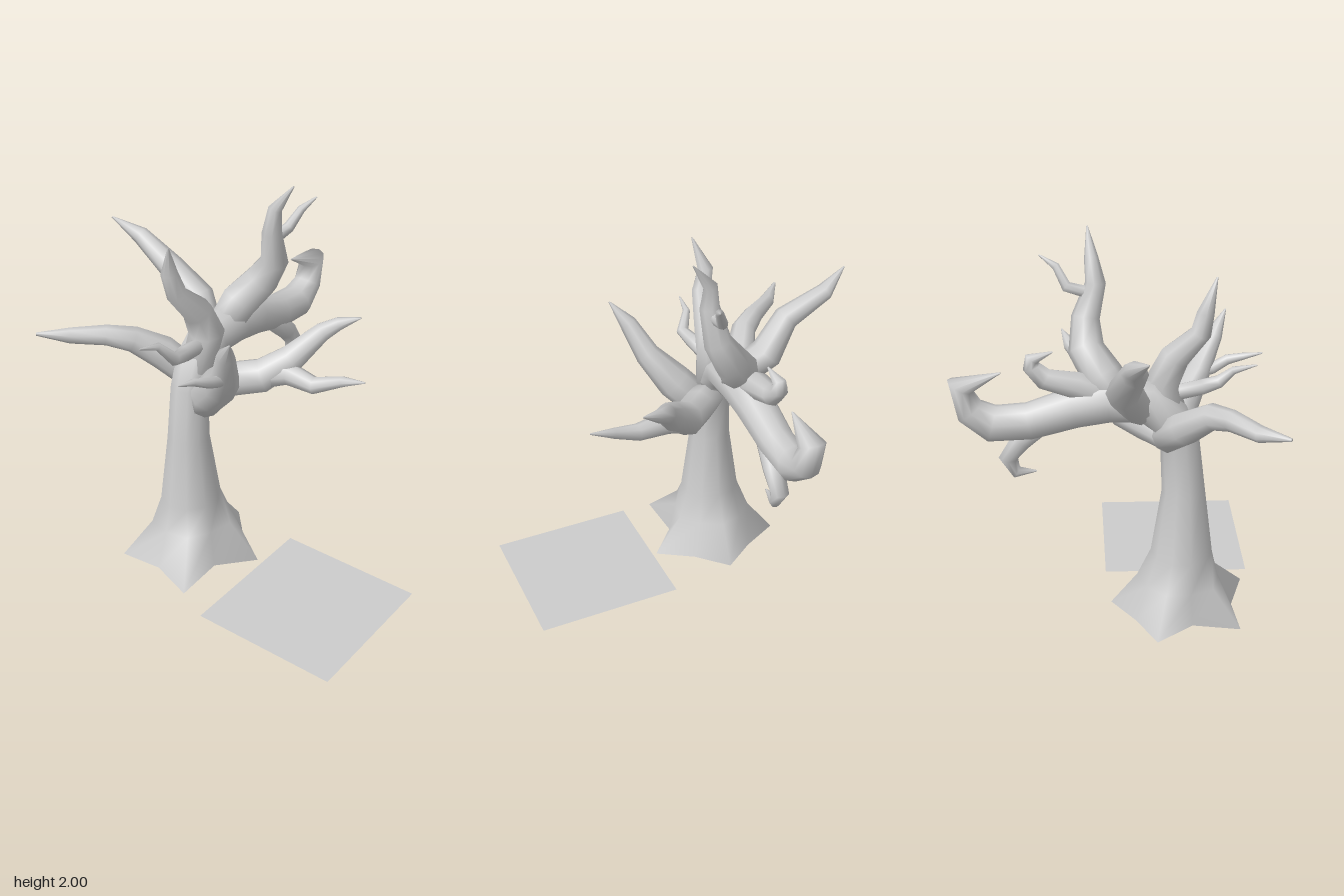
import * as THREE from 'three';

const material = new THREE.MeshStandardMaterial({ color: 0xcccccc, side: THREE.DoubleSide });

// Lofts rings along a path of [x, y, z, radius]; scale(i, j) can reshape a ring.
function limb(name, path, { sides = 8, scale = () => 1, twist = 0, openStart = false } = {}) {
  const pts = path.map(p => new THREE.Vector3(p[0], p[1], p[2]));
  const dirs = pts.slice(1).map((p, i) => p.clone().sub(pts[i]).normalize());
  const tangents = pts.map((p, i) => {
    const before = dirs[Math.max(i - 1, 0)], after = dirs[Math.min(i, dirs.length - 1)];
    return before.clone().add(after).normalize();
  });
  if (openStart) tangents[0].set(0, 1, 0);
  const u = new THREE.Vector3(1, 0, 0);
  if (Math.abs(tangents[0].x) > 0.8) u.set(0, 1, 0);
  u.addScaledVector(tangents[0], -u.dot(tangents[0])).normalize();

  const positions = [], index = [];
  const turn = new THREE.Quaternion();
  pts.forEach((p, i) => {
    if (i > 0) u.applyQuaternion(turn.setFromUnitVectors(tangents[i - 1], tangents[i]));
    const v = u.clone().cross(tangents[i]);
    for (let j = 0; j < sides; j++) {
      const a = twist + (j / sides) * Math.PI * 2, r = path[i][3] * scale(i, j);
      const q = p.clone().addScaledVector(u, Math.cos(a) * r).addScaledVector(v, Math.sin(a) * r);
      positions.push(q.x, q.y, q.z);
      if (i < pts.length - 1) {
        const k = (j + 1) % sides, s = i * sides, t = s + sides;
        index.push(s + j, t + j, s + k, s + k, t + j, t + k);
      }
    }
  });
  // End caps
  const last = (pts.length - 1) * sides, startCentre = pts.length * sides;
  positions.push(...pts[0].toArray(), ...pts[pts.length - 1].toArray());
  for (let j = 0; j < sides; j++) {
    const k = (j + 1) % sides;
    if (!openStart) index.push(startCentre, j, k);
    index.push(startCentre + 1, last + k, last + j);
  }
  const geometry = new THREE.BufferGeometry();
  geometry.setAttribute('position', new THREE.Float32BufferAttribute(positions, 3));
  geometry.setIndex(index);
  geometry.computeVertexNormals();
  const mesh = new THREE.Mesh(geometry, material);
  mesh.name = name;
  return mesh;
}

const TIP = 0.004;

const branches = {
  tallRightBranch: [[-0.06, 1.24, -0.25, 0.09], [0.02, 1.34, -0.22, 0.1], [0.1, 1.45, -0.14, 0.09],
    [0.1, 1.58, -0.06, 0.07], [0.05, 1.75, -0.04, 0.05], [0.07, 1.87, -0.035, 0.035], [0.087, 2.0, 0.06, TIP]],
  tallRightTwig: [[0.07, 1.71, -0.04, 0.025], [0.11, 1.71, -0.05, 0.03], [0.19, 1.73, -0.04, 0.028],
    [0.24, 1.82, 0.0, 0.02], [0.32, 1.865, 0.035, TIP]],
  tallLeftBranch: [[-0.31, 1.1, -0.23, 0.09], [-0.26, 1.29, -0.21, 0.09], [-0.325, 1.43, -0.21, 0.075],
    [-0.445, 1.56, -0.23, 0.052], [-0.46, 1.67, -0.26, 0.042], [-0.515, 1.83, -0.21, TIP]],
  backLeftBranch: [[-0.29, 1.03, -0.27, 0.08], [-0.36, 1.15, -0.42, 0.085], [-0.48, 1.25, -0.5, 0.065],
    [-0.56, 1.275, -0.6, 0.052], [-0.67, 1.275, -0.74, 0.04], [-0.79, 1.3, -0.85, 0.008]],
  backRightBranch: [[-0.16, 1.18, -0.27, 0.08], [-0.07, 1.34, -0.42, 0.085], [-0.115, 1.49, -0.55, 0.065],
    [-0.1, 1.6, -0.76, 0.045], [-0.155, 1.685, -0.9, TIP]],
  frontLeftBranch: [[-0.35, 0.91, -0.17, 0.07], [-0.35, 0.99, -0.14, 0.095], [-0.37, 1.1, -0.04, 0.095],
    [-0.47, 1.24, 0.07, 0.065], [-0.55, 1.4, 0.14, 0.045], [-0.615, 1.51, 0.215, TIP]],
  frontLeftTwig: [[-0.44, 1.22, 0.06, 0.03], [-0.54, 1.24, 0.08, 0.03], [-0.62, 1.28, 0.1, 0.027],
    [-0.7, 1.31, 0.07, 0.018], [-0.79, 1.33, 0.06, TIP]],
  sideLeftTwig: [[-0.33, 1.24, -0.21, 0.04], [-0.46, 1.26, -0.19, 0.04], [-0.55, 1.28, -0.17, 0.033],
    [-0.61, 1.36, -0.22, 0.02], [-0.72, 1.39, -0.23, TIP]],
  frontBranch: [[-0.29, 1.02, -0.2, 0.085], [-0.2, 1.03, -0.1, 0.09], [-0.1, 1.04, 0.01, 0.09],
    [-0.02, 1.14, 0.13, 0.075], [0.12, 1.26, 0.22, 0.05], [0.18, 1.3, 0.28, 0.035], [0.22, 1.345, 0.38, TIP]],
  frontLowBranch: [[-0.1, 1.04, 0.0, 0.075], [-0.06, 1.08, 0.15, 0.06], [-0.06, 1.065, 0.3, 0.045],
    [-0.025, 1.12, 0.44, 0.028], [-0.02, 1.155, 0.565, TIP]],
  upperSideBranch: [[-0.02, 1.24, -0.25, 0.07], [0.15, 1.31, -0.26, 0.07], [0.3, 1.345, -0.26, 0.055],
    [0.36, 1.41, -0.26, 0.045], [0.36, 1.45, -0.26, 0.035], [0.26, 1.48, -0.25, TIP]],
  hangingBranch: [[0.28, 1.12, -0.23, 0.05], [0.42, 1.0, -0.215, 0.055], [0.49, 0.9, -0.215, 0.048],
    [0.45, 0.82, -0.215, 0.032], [0.35, 0.825, -0.215, TIP]],
};

export function createModel() {
  const tree = new THREE.Group();
  tree.name = 'bareTree';

  // Trunk flares into five uneven roots and bends over into the big hooked limb
  const roots = [0.36, 0.27, 0.37, 0.22, 0.41, 0.27, 0.38, 0.21, 0.37, 0.28];
  const trunk = [[-0.38, 0.035, -0.24, 1], [-0.37, 0.22, -0.25, 0.21], [-0.38, 0.37, -0.25, 0.157],
    [-0.38, 0.73, -0.25, 0.108], [-0.355, 1.0, -0.25, 0.098], [-0.3, 1.13, -0.25, 0.105],
    [-0.19, 1.22, -0.25, 0.11], [0.0, 1.225, -0.25, 0.11], [0.16, 1.19, -0.25, 0.102],
    [0.38, 1.12, -0.25, 0.092], [0.56, 1.11, -0.25, 0.092], [0.665, 1.18, -0.25, 0.075],
    [0.705, 1.31, -0.25, 0.068], [0.51, 1.375, -0.25, TIP]];
  tree.add(limb('trunkAndHookedLimb', trunk, {
    sides: 10,
    twist: THREE.MathUtils.degToRad(4),
    openStart: true,
    scale: (i, j) => i === 0 ? roots[j] : i === 1 ? 0.8 + 0.65 * (roots[j] - 0.02) : 1,
  }));

  for (const [name, path] of Object.entries(branches)) tree.add(limb(name, path));

  // Flat square lying on the ground in front
  const plate = new THREE.Mesh(new THREE.PlaneGeometry(0.775, 0.77).rotateX(-Math.PI / 2), material);
  plate.name = 'groundPlate';
  plate.position.set(-0.39, 0, 0.51);
  tree.add(plate);

  return tree;
}
